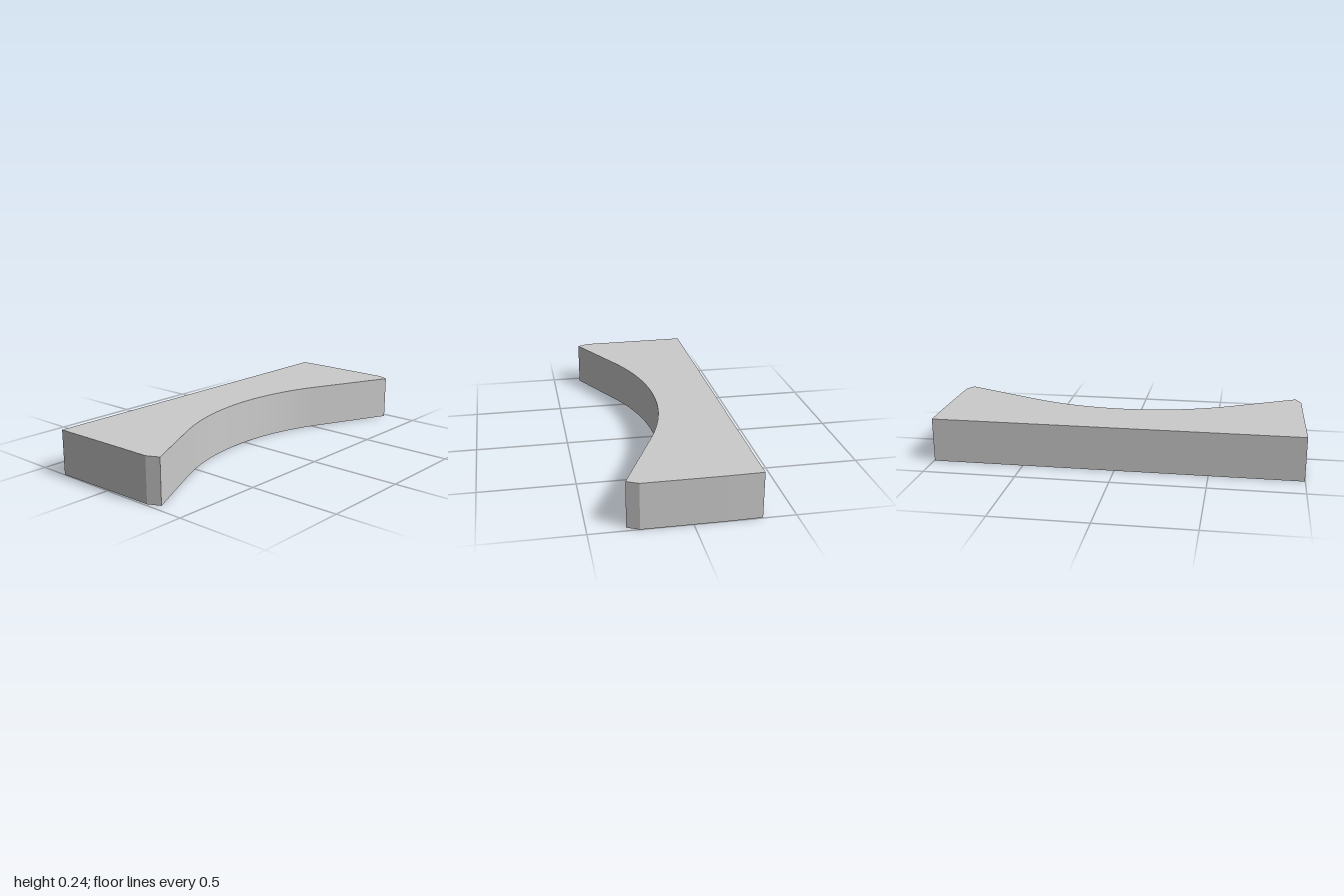
import * as THREE from 'three';

export function createModel() {
  const group = new THREE.Group();
  const deg = Math.PI / 180;
  const height = 0.24;

  // Plan outline of the slab; shape y points to the back (-z)
  const outline = new THREE.Shape();
  outline.moveTo(-0.335, -0.998);
  outline.lineTo(-0.335, 0.996);
  outline.lineTo(-0.16, 1);
  outline.lineTo(0.255, 1);
  outline.lineTo(0.315, 0.97); // back chamfered tip
  // Concave side: a shallow arc running into straight tangents
  outline.absarc(1.305, 0, 1.3, 156 * deg, 207 * deg, false);
  outline.lineTo(0.335, -0.957); // front chamfered tip
  outline.lineTo(0.27, -0.988);
  outline.lineTo(0.09, -0.99);
  outline.closePath();

  const geometry = new THREE.ExtrudeGeometry(outline, {
    depth: height, bevelEnabled: false, curveSegments: 18,
  });
  geometry.rotateX(-Math.PI / 2);

  const slab = new THREE.Mesh(geometry, new THREE.MeshStandardMaterial({ color: 0xcccccc }));
  slab.name = 'concaveSlab';
  group.add(slab);
  return group;
}
